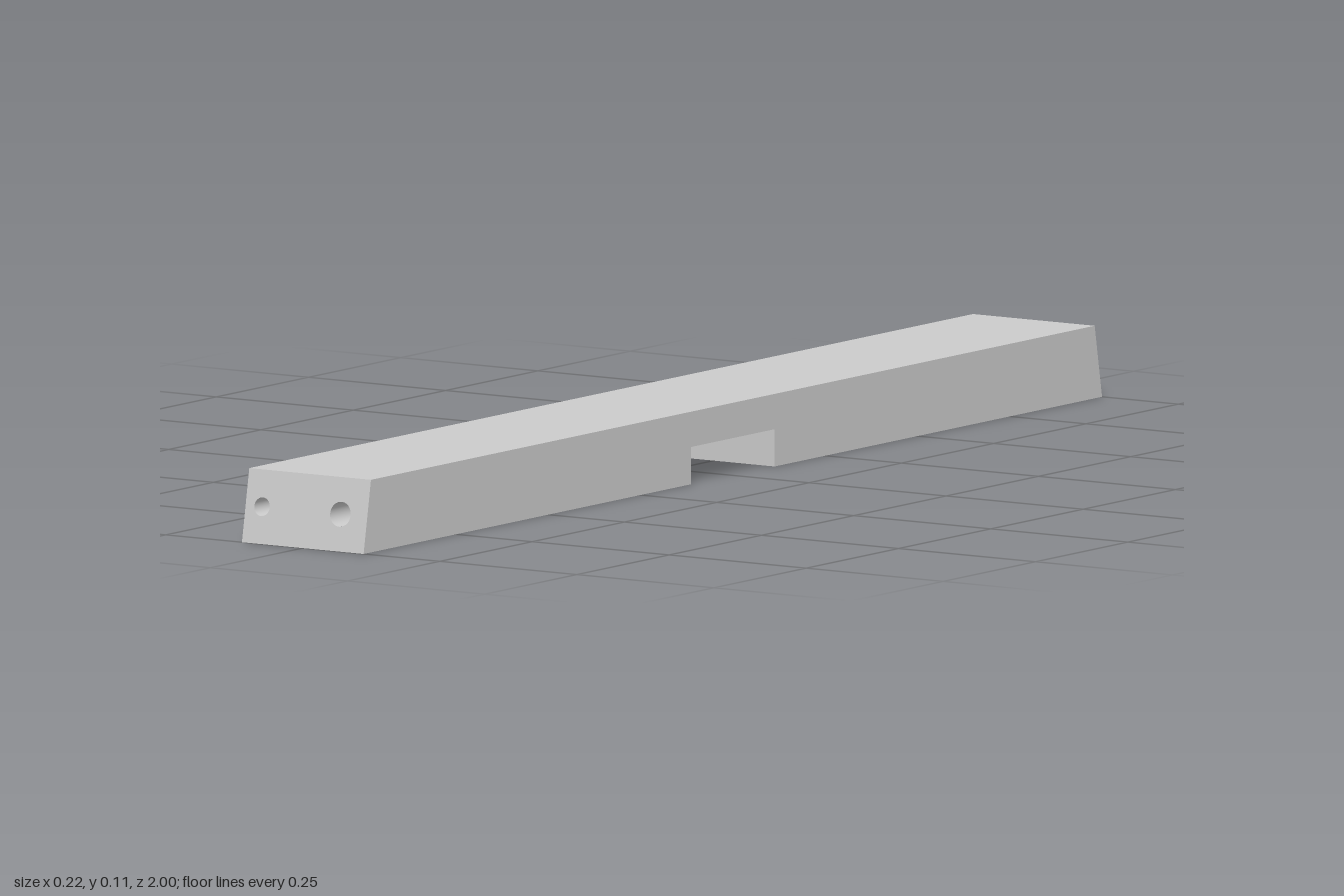
import * as THREE from 'three';

const W = 0.111, H = 0.111;              // half width, height
const NOTCH = 0.113, NOTCH_H = 0.057;    // half length and height of the notch
const MID = H / 2;                       // height of the end bores
const SMALL = { x: -0.081, r: 0.014, end: 0.8 };
const LARGE = { x: 0.062, r: 0.0187 };
const WELL = { x: 0.062, z: 0.84, r: 0.032, depth: 0.09 };
const SEG = 48;

const endZ = y => 1 - 0.02 * y / H;      // sloping end plane
const material = new THREE.MeshStandardMaterial({ color: 0xcccccc });

function add(group, name, geometry) {
  const mesh = new THREE.Mesh(geometry, material);
  mesh.name = name;
  group.add(mesh);
}

// Moves every vertex of a geometry by a rule
function remap(geometry, rule) {
  const p = geometry.attributes.position;
  for (let i = 0; i < p.count; i++) p.setXYZ(i, ...rule(p.getX(i), p.getY(i), p.getZ(i)));
  return geometry;
}

// Flat panel outlined in (u, v), with round holes, placed by a rule
function panel(points, rule, holes = []) {
  const shape = new THREE.Shape(points.map(([u, v]) => new THREE.Vector2(u, v)));
  for (const [u, v, r] of holes) shape.holes.push(new THREE.Path().absarc(u, v, r, 0, Math.PI * 2, true));
  const geometry = remap(new THREE.ShapeGeometry(shape, SEG), rule);
  geometry.computeVertexNormals();
  return geometry;
}

const rect = (u0, v0, u1, v1) => [[u0, v0], [u1, v0], [u1, v1], [u0, v1]];

// Open tube of unit length whose faces look inward
function innerTube(r) {
  const geometry = new THREE.CylinderGeometry(r, r, 1, SEG, 1, true);
  const index = geometry.index.array, n = geometry.attributes.normal.array;
  for (let i = 0; i < index.length; i += 3) [index[i], index[i + 1]] = [index[i + 1], index[i]];
  for (let i = 0; i < n.length; i++) n[i] = -n[i];
  return geometry;
}

// Horizontal bore from the sloping end to innerZ(x offset)
function bore({ x, r }, innerZ) {
  return remap(innerTube(r).rotateX(Math.PI / 2), (px, py, pz) =>
    [x + px, MID + py, pz > 0 ? endZ(MID + py) : innerZ(px)]);
}

// Half height of the opening where the large bore meets the well
const opening = (px, pz) => pz > 0 ? Math.sqrt(Math.max(0, LARGE.r ** 2 - px ** 2)) : 0;

function wellWall(upper) {
  return remap(innerTube(WELL.r), (px, py, pz) => {
    const cut = opening(px, pz);
    const y = upper ? (py > 0 ? WELL.depth : MID + cut) : (py > 0 ? MID - cut : 0);
    return [WELL.x + px, y, WELL.z + pz];
  });
}

// One end of the beam with its bores and its half of the underside
function createEnd() {
  const g = new THREE.Group();
  add(g, 'endFace', panel(rect(-W, 0, W, H), (u, v) => [u, v, endZ(v)],
    [SMALL, LARGE].map(b => [b.x, MID, b.r])));
  add(g, 'underside', panel(rect(-W, NOTCH, W, 1), (u, v) => [u, 0, v], [[WELL.x, WELL.z, WELL.r]]));
  add(g, 'notchWall', panel(rect(-W, 0, W, NOTCH_H), (u, v) => [-u, v, NOTCH]));

  add(g, 'smallBore', bore(SMALL, () => SMALL.end));
  add(g, 'smallBoreFloor', new THREE.CircleGeometry(SMALL.r, SEG).translate(SMALL.x, MID, SMALL.end));
  add(g, 'largeBore', bore(LARGE, px => WELL.z + Math.sqrt(WELL.r ** 2 - px ** 2)));

  add(g, 'wellLowerWall', wellWall(false));
  add(g, 'wellUpperWall', wellWall(true));
  add(g, 'wellFloor', new THREE.CircleGeometry(WELL.r, SEG).rotateX(Math.PI / 2)
    .translate(WELL.x, WELL.depth, WELL.z));
  return g;
}

export function createModel() {
  const model = new THREE.Group();
  model.name = 'notchedBeam';

  // Long faces
  const top = endZ(H);
  const profile = [[-1, 0], [-NOTCH, 0], [-NOTCH, NOTCH_H], [NOTCH, NOTCH_H],
    [NOTCH, 0], [1, 0], [top, H], [-top, H]];
  add(model, 'topFace', panel(rect(-W, -top, W, top), (u, v) => [u, H, -v]));
  add(model, 'notchCeiling', panel(rect(-W, -NOTCH, W, NOTCH), (u, v) => [u, NOTCH_H, v]));
  add(model, 'leftSide', panel(profile, (u, v) => [W, v, -u]));
  add(model, 'rightSide', panel(profile, (u, v) => [-W, v, u]));

  // The back end is the front end turned half a revolution
  for (const [name, angle] of [['frontEnd', 0], ['backEnd', Math.PI]]) {
    const end = createEnd();
    end.name = name;
    end.rotation.y = angle;
    model.add(end);
  }
  return model;
}
